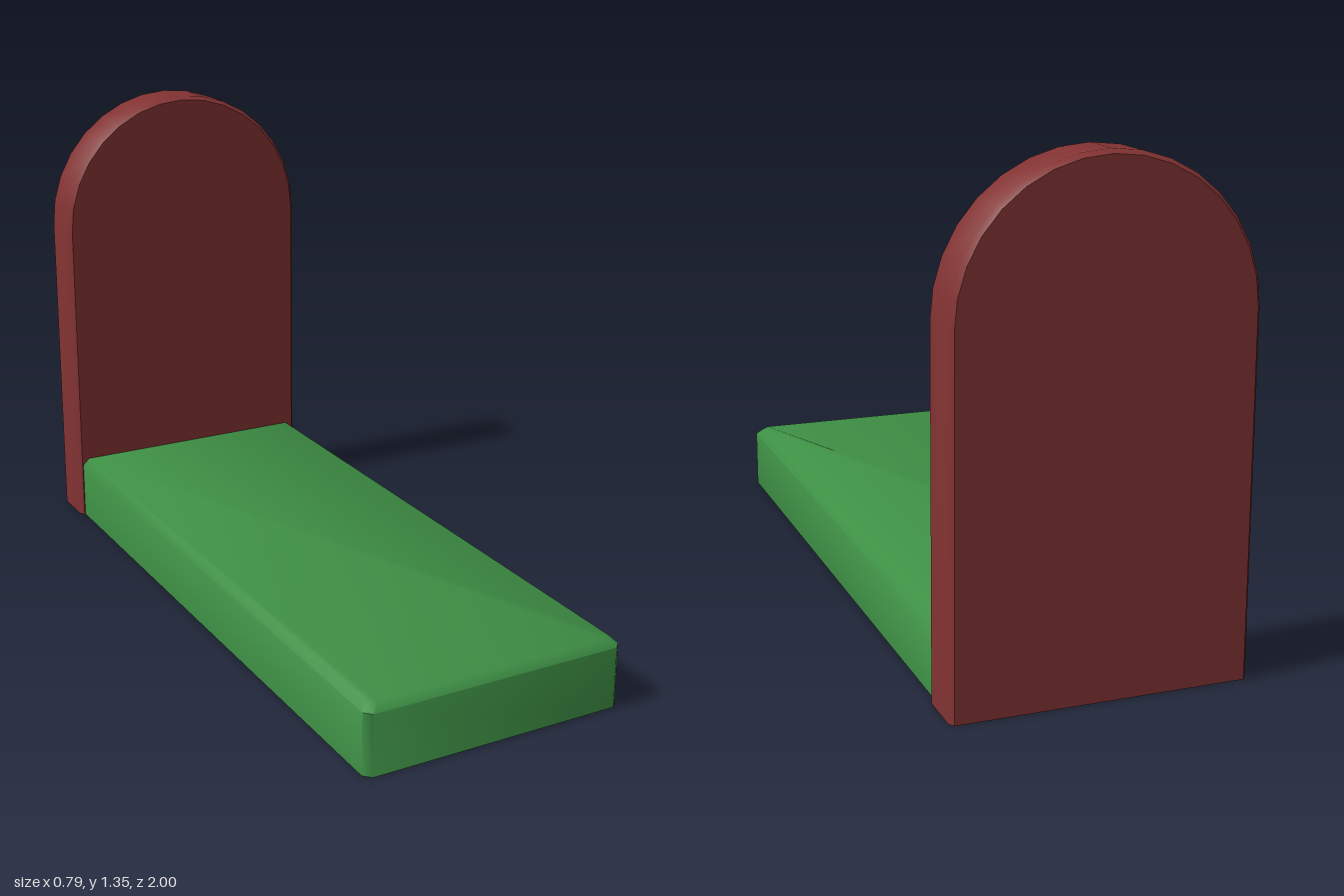
import * as THREE from 'three';
import { toCreasedNormals } from 'three/addons/utils/BufferGeometryUtils.js';

const V = (x, y, z) => new THREE.Vector3(x, y, z);

// Skin a stack of open rings, then add flat caps given as lists of triangles
function skin(rings, caps = []) {
  const tris = [];
  for (let i = 0; i + 1 < rings.length; i++) {
    const lo = rings[i], hi = rings[i + 1];
    for (let j = 0; j + 1 < lo.length; j++) {
      tris.push(lo[j], lo[j + 1], hi[j], lo[j + 1], hi[j + 1], hi[j]);
    }
  }
  caps.forEach((cap) => tris.push(...cap));
  const geometry = new THREE.BufferGeometry().setFromPoints(tris);
  return toCreasedNormals(geometry, 0.9);
}

// Triangles of a flat cap in the xy plane, facing +z or -z
function capXY(points, z, facing) {
  const flat = points.map((p) => new THREE.Vector2(p.x, p.y));
  return THREE.ShapeUtils.triangulateShape(flat, []).flatMap(([a, b, c]) =>
    (facing > 0 ? [a, b, c] : [a, c, b]).map((i) => V(flat[i].x, flat[i].y, z)));
}

// Triangles of a convex cap
const fan = (ring) => ring.slice(2).flatMap((p, i) => [ring[0], ring[i + 1], p]);

export function createModel() {
  const stone = new THREE.MeshStandardMaterial({ color: 0x843333 });
  const grass = new THREE.MeshStandardMaterial({ color: 0x3e9045 });
  stone.name = 'dark red stone';
  grass.name = 'green grass';
  stone.side = grass.side = THREE.DoubleSide;

  const BACK = -1, JOIN = -0.85, FRONT = 1;
  const half = 0.382, height = 0.193, bevel = 0.02;

  // Headstone: arched slab with softened rims, open underneath
  const arch = (inset, z) => {
    const r = 0.396 - inset, ring = [V(r, 0, z)];
    for (let i = 0; i <= 16; i++) {
      const a = (i / 16) * Math.PI;
      ring.push(V(r * Math.cos(a), 0.954 + r * Math.sin(a), z));
    }
    ring.push(V(-r, 0, z));
    return ring;
  };
  const rim = 0.011;
  const stoneRings = [
    arch(rim, BACK), arch(0, BACK + 0.014), arch(0, JOIN - 0.014), arch(rim, JOIN),
  ];
  // The front is cut out where the hollow mound joins it
  const notch = [
    V(-half, 0, JOIN), V(-half, height - bevel, JOIN), V(-half + bevel, height, JOIN),
    V(half - bevel, height, JOIN), V(half, height - bevel, JOIN), V(half, 0, JOIN),
  ];
  const headstone = new THREE.Mesh(skin(stoneRings, [
    capXY(stoneRings[0], BACK, -1),
    capXY([...stoneRings[3], ...notch], JOIN, 1),
  ]), stone);
  headstone.name = 'headstone';

  // Mound: long shallow shell with bevelled front and top edges, open below
  const plan = (inset, y) => {
    const x = half - inset, z = FRONT - inset;
    return [
      V(-x, y, JOIN), V(-x, y, z - bevel), V(-x + bevel, y, z),
      V(x - bevel, y, z), V(x, y, z - bevel), V(x, y, JOIN),
    ];
  };
  const moundRings = [plan(0, 0), plan(0, height - bevel), plan(bevel, height)];
  const mound = new THREE.Mesh(skin(moundRings, [fan(moundRings[2])]), grass);
  mound.name = 'graveMound';

  const group = new THREE.Group();
  group.name = 'grave';
  group.add(headstone, mound);
  return group;
}
